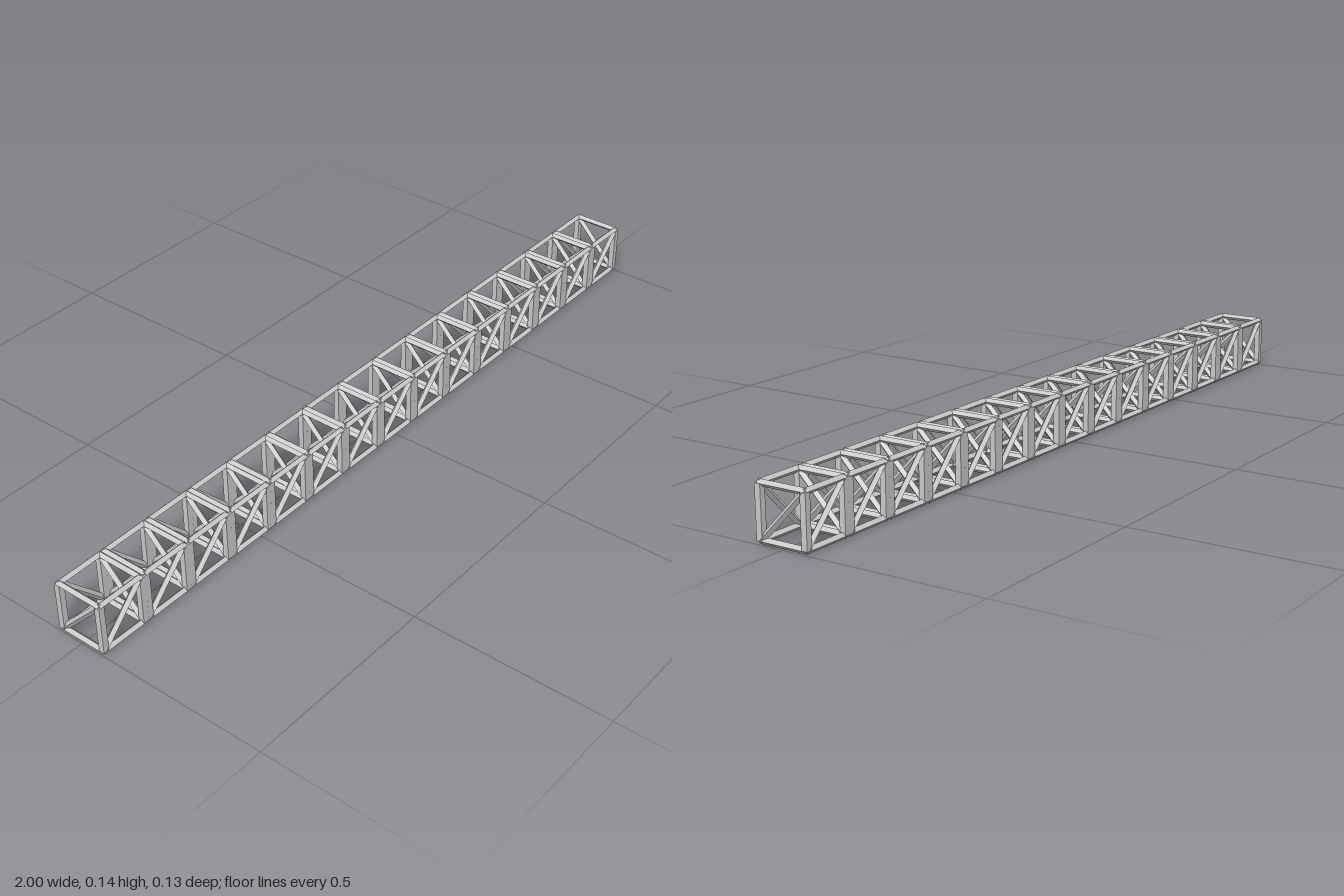
import * as THREE from 'three';

const BAYS = 15;
const PITCH = 2 / BAYS;
const HALF = 0.0593;           // bar axis offset from the bay centre
const LOW = 0.0083, HIGH = 0.131; // heights of bottom and top bar axes
const R = 0.008;

export function createModel() {
  const model = new THREE.Group();
  model.name = 'boxTruss';
  const material = new THREE.MeshStandardMaterial({ color: 0xcccccc, flatShading: true });

  const rise = HIGH - LOW, mid = (HIGH + LOW) / 2;
  const railGeometry = new THREE.CylinderGeometry(R, R, 0.124, 4);
  const postGeometry = new THREE.BoxGeometry(0.0147, rise, 0.0147);
  const braceGeometry = new THREE.CylinderGeometry(R, R, Math.hypot(2 * HALF, rise), 4);

  // One side of a bay: two rails, a corner post and a diagonal brace
  function makeSide() {
    const side = new THREE.Group();
    side.name = 'baySide';
    const add = (name, geometry, x, y, tilt) => {
      const mesh = new THREE.Mesh(geometry, material);
      mesh.name = name;
      mesh.position.set(x, y, HALF);
      mesh.rotation.z = tilt;
      side.add(mesh);
    };
    add('bottomRail', railGeometry, 0, LOW, Math.PI / 2);
    add('topRail', railGeometry, 0, HIGH, Math.PI / 2);
    add('cornerPost', postGeometry, -HALF, mid, 0);
    add('diagonalBrace', braceGeometry, 0, mid, -Math.atan2(2 * HALF, rise));
    return side;
  }

  // Each bay turns the same side around its four faces
  for (let i = 0; i < BAYS; i++) {
    const bay = new THREE.Group();
    bay.name = 'bay' + (i + 1);
    bay.position.x = (i - (BAYS - 1) / 2) * PITCH;
    for (let k = 0; k < 4; k++) {
      const side = makeSide();
      side.rotation.y = k * Math.PI / 2;
      bay.add(side);
    }
    model.add(bay);
  }
  return model;
}
